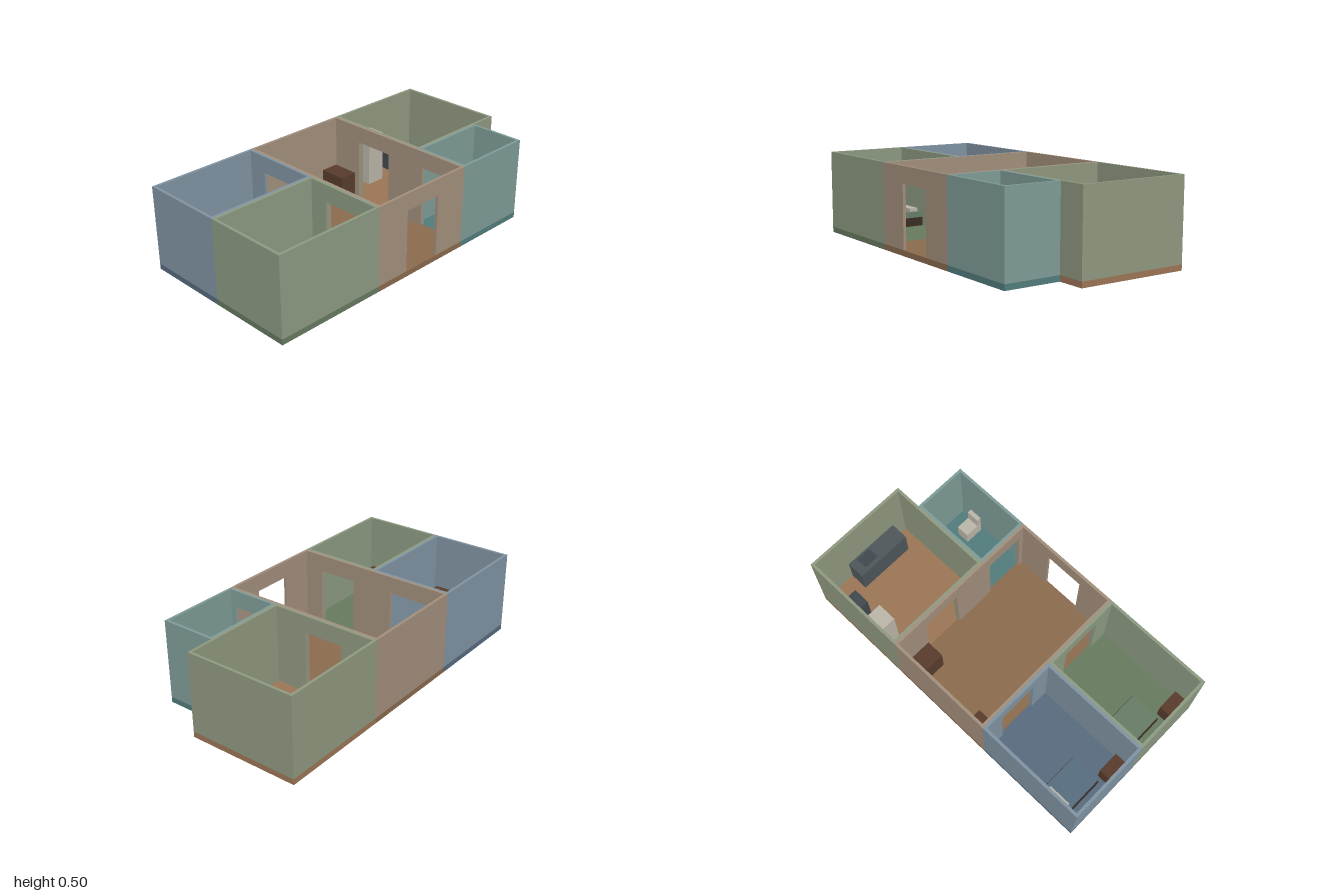
import * as THREE from 'three';

const FLOOR = 0.033, TOP = 0.5, T = 0.0167, DOOR_W = 0.24, DOOR_TOP = 0.4;
const WOOD = 0x583c2d, WHITE = 0xbab5a8, DARK = 0x41484e, COUNTER = 0x4e565a;
const mat = (color) => new THREE.MeshStandardMaterial({ color });

// Box given by its x, y and z ranges
function box(name, color, x0, x1, y0, y1, z0, z1) {
  const m = new THREE.Mesh(new THREE.BoxGeometry(x1 - x0, y1 - y0, z1 - z0), mat(color));
  m.position.set((x0 + x1) / 2, (y0 + y1) / 2, (z0 + z1) / 2);
  m.name = name;
  return m;
}

// Wall running from a to b, with doorways cut up from the floor
function wall(name, color, a, b, doors = []) {
  const s = new THREE.Shape();
  s.moveTo(a, FLOOR);
  for (const c of doors) {
    s.lineTo(c - DOOR_W / 2, FLOOR);
    s.lineTo(c - DOOR_W / 2, DOOR_TOP);
    s.lineTo(c + DOOR_W / 2, DOOR_TOP);
    s.lineTo(c + DOOR_W / 2, FLOOR);
  }
  s.lineTo(b, FLOOR);
  s.lineTo(b, TOP);
  s.lineTo(a, TOP);
  const m = new THREE.Mesh(new THREE.ExtrudeGeometry(s, { depth: T, bevelEnabled: false }), mat(color));
  m.name = name;
  return m;
}

// Floor slab with four walls; doors lists doorway centres for each side
function room(name, floorColor, wallColor, [x0, x1], [z0, z1], doors) {
  const g = new THREE.Group();
  g.name = name;
  g.add(box('floor', floorColor, x0, x1, 0, FLOOR, z0, z1));
  const front = wall('frontWall', wallColor, x0, x1, doors.front);
  front.position.z = z1 - T;
  const back = wall('backWall', wallColor, x0, x1, doors.back);
  back.position.z = z0;
  const plus = wall('leftWall', wallColor, z0 + T, z1 - T, doors.plusX);
  plus.position.x = x1;
  const minus = wall('rightWall', wallColor, z0 + T, z1 - T, doors.minusX);
  minus.position.x = x0 + T;
  plus.rotation.y = minus.rotation.y = -Math.PI / 2;
  g.add(front, back, plus, minus);
  return g;
}

// Bed and dresser, placed from the back wall of a bedroom
function bedroomSet(z, blanket) {
  const g = new THREE.Group();
  g.name = 'bedroomFurniture';
  g.add(
    box('bedFrame', 0x3a2c24, -0.922, -0.728, FLOOR, 0.085, z + T, z + 0.302),
    box('mattress', blanket, -0.916, -0.734, 0.085, 0.12, z + T + 0.003, z + 0.296),
    box('pillow', WHITE, -0.895, -0.757, 0.12, 0.14, z + 0.035, z + 0.09),
    box('dresser', WOOD, -0.982, -0.893, FLOOR, 0.165, z + 0.335, z + 0.466)
  );
  return g;
}

export function createModel() {
  const house = new THREE.Group();
  house.name = 'house';
  const W = 1 / 3, H = 1 / 6;

  // Rooms
  house.add(
    room('backBedroom', 0x576b7e, 0x8093a2, [-1, -W], [-0.5, 0], { plusX: [-0.25] }),
    room('frontBedroom', 0x667a5f, 0x8c9a82, [-1, -W], [0, 0.5], { plusX: [0.25] }),
    room('livingRoom', 0x8b6a4d, 0xa28f7c, [-W, W], [-0.5, 0.5],
      { front: [0], minusX: [-0.25, 0.25], plusX: [-H, W] }),
    room('kitchen', 0x9c7556, 0x8f9880, [W, 1], [-0.5, H], { minusX: [-H] }),
    room('bathroom', 0x527c7c, 0x7f9c97, [W, 0.833], [H, 0.5], { minusX: [W] })
  );

  // Bedroom furniture
  house.add(bedroomSet(-0.5, 0x566e80), bedroomSet(0, 0x667c66));

  // Living room furniture
  house.add(
    box('lowCabinet', WOOD, -0.31, -0.18, FLOOR, 0.165, -0.46, -0.38),
    box('sideCabinet', WOOD, 0.19, 0.3, FLOOR, 0.2, -0.47, -0.305)
  );

  // Kitchen furniture
  house.add(
    box('fridge', WHITE, 0.49, 0.61, FLOOR, 0.35, -0.483, -0.37),
    box('stove', DARK, 0.73, 0.835, FLOOR, 0.2, -0.483, -0.375),
    box('counter', COUNTER, 0.87, 0.982, FLOOR, 0.2, -0.29, 0.065),
    box('kitchenSink', DARK, 0.897, 0.968, 0.19, 0.204, -0.235, -0.14)
  );

  // Bathroom fixtures
  house.add(
    box('washBasin', WHITE, 0.68, 0.785, FLOOR, 0.18, 0.2, 0.275),
    box('toiletBowl', WHITE, 0.645, 0.725, FLOOR, 0.12, 0.35, 0.438),
    box('toiletTank', WHITE, 0.645, 0.725, FLOOR, 0.19, 0.438, 0.465)
  );
  return house;
}
